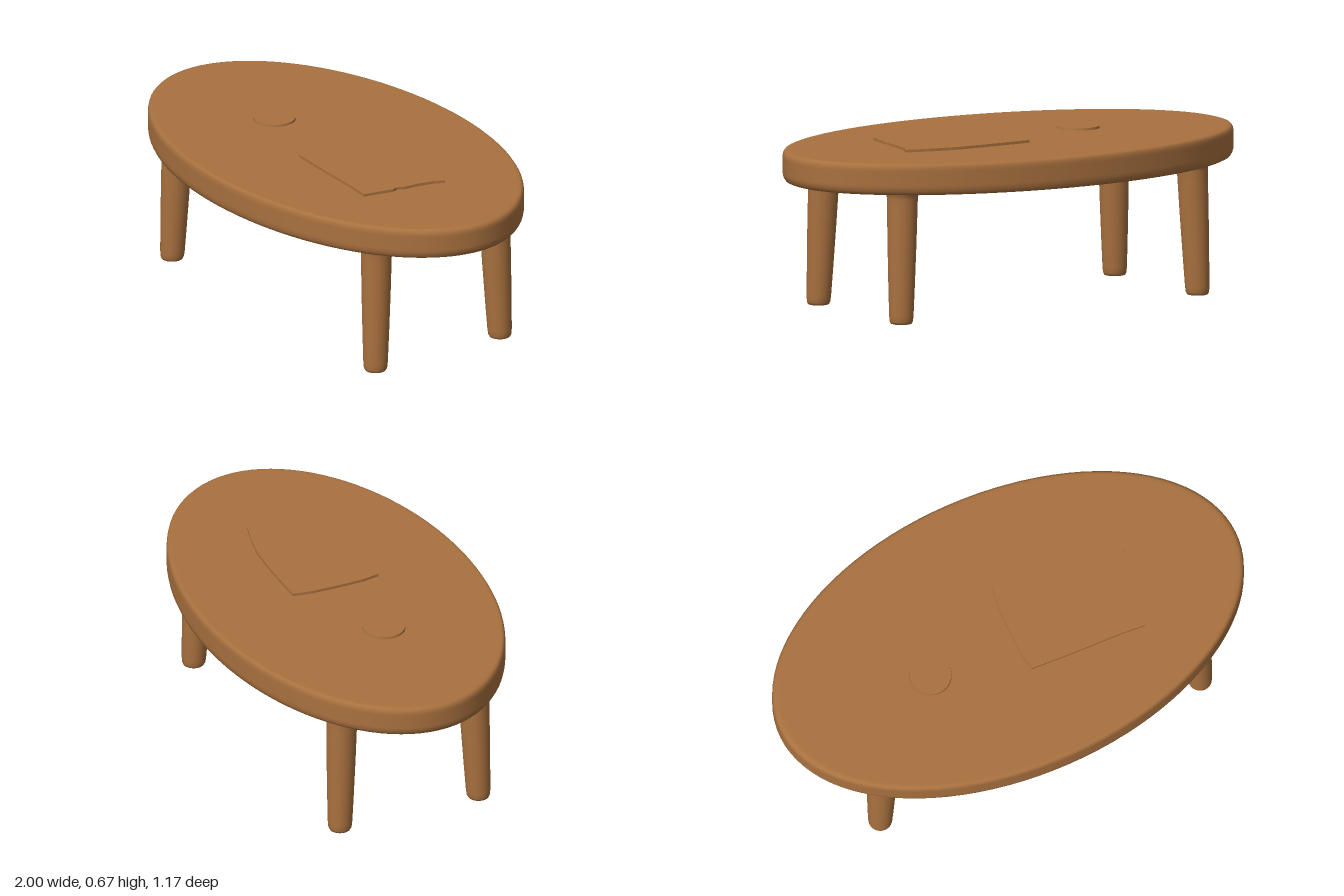
import * as THREE from 'three';

const wood = new THREE.MeshStandardMaterial({ color: 0xa9713f, roughness: 0.8 });

const LEG_HEIGHT = 0.54, TOP_Y = 0.656;

function addMesh(parent, name, geometry) {
  const mesh = new THREE.Mesh(geometry, wood);
  mesh.name = name;
  parent.add(mesh);
  return mesh;
}

// Solid of revolution from [radius, height] pairs, bottom to top
function lathe(points, segments) {
  return new THREE.LatheGeometry(points.map(([r, y]) => new THREE.Vector2(r, y)), segments);
}

// Oval slab with softly rounded rims
function tabletopGeometry() {
  const geometry = lathe([
    [0, 0.53], [0.96, 0.53], [0.975, 0.53], [0.988, 0.535], [0.996, 0.546], [1, 0.56], [1, 0.57],
    [1, 0.625], [1, 0.635], [0.997, 0.646], [0.99, 0.653], [0.98, TOP_Y], [0.965, TOP_Y], [0, TOP_Y],
  ], 96);
  return geometry.scale(1, 1, 0.585);
}

// Tapered round leg, flared under the top and sheared so that the foot leans outward
function legGeometry(sx, sz) {
  const geometry = lathe([
    [0, 0], [0.036, 0], [0.042, 0.002], [0.047, 0.012], [0.049, 0.035], [0.053, 0.15],
    [0.058, 0.32], [0.061, 0.46], [0.062, 0.505], [0.065, 0.52], [0.072, 0.531], [0.072, LEG_HEIGHT],
  ], 28);
  const lean = new THREE.Matrix4().set(
    1, -sx * 0.03, 0, sx * 0.703,
    0, 1, 0, 0,
    0, -sz * 0.03, 1, sz * 0.303,
    0, 0, 0, 1);
  return geometry.applyMatrix4(lean);
}

// Thin sheet with a slightly worn right edge, given as [x, z] corners
function sheetGeometry() {
  const outline = [
    [0.015, -0.182], [0.2, -0.184], [0.36, -0.178], [0.47, -0.158], [0.57, -0.13],
    [0.55, -0.09], [0.535, -0.02], [0.53, 0.04], [0.518, 0.07], [0.525, 0.09],
    [0.5, 0.217], [0.4, 0.208], [0.2, 0.202], [0.015, 0.192], [0.002, 0.12], [0, 0], [0.003, -0.1],
  ];
  const shape = new THREE.Shape(outline.map(([x, z]) => new THREE.Vector2(x, -z)));
  return new THREE.ExtrudeGeometry(shape, { depth: 0.02, bevelEnabled: false }).rotateX(-Math.PI / 2);
}

export function createModel() {
  const table = new THREE.Group();
  table.name = 'coffeeTable';

  addMesh(table, 'tabletop', tabletopGeometry());

  for (const [sx, side] of [[1, 'Left'], [-1, 'Right']]) {
    for (const [sz, end] of [[1, 'front'], [-1, 'back']]) {
      addMesh(table, `${end}${side}Leg`, legGeometry(sx, sz));
    }
  }

  // Low-relief items lying on the top
  addMesh(table, 'sheet', sheetGeometry()).position.y = TOP_Y - 0.009;
  const coaster = addMesh(table, 'coaster', new THREE.CylinderGeometry(0.084, 0.087, 0.02, 32));
  coaster.position.set(-0.362, TOP_Y - 0.001, 0.045);

  return table;
}
